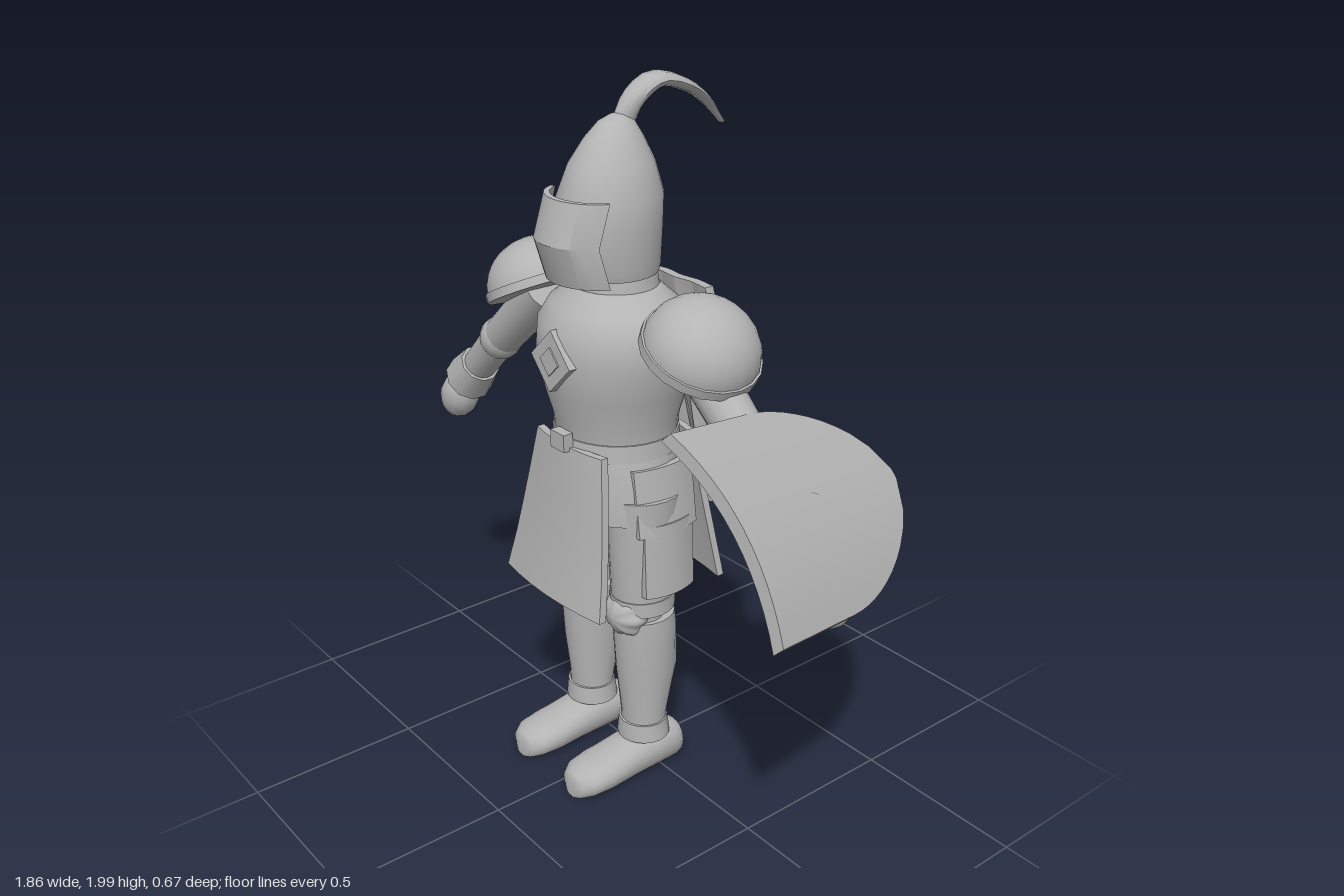
import * as THREE from 'three';
import { toCreasedNormals } from 'three/addons/utils/BufferGeometryUtils.js';

const steel = new THREE.MeshStandardMaterial({ color: 0xb4b4b4 });
steel.name = 'grey steel';
const V = (x, y, z) => new THREE.Vector3(x, y, z);
const lerp = THREE.MathUtils.lerp;

function add(parent, name, geometry, x = 0, y = 0, z = 0) {
  const mesh = new THREE.Mesh(geometry, steel);
  mesh.name = name;
  mesh.position.set(x, y, z);
  parent.add(mesh);
  return mesh;
}

// Skin a list of equal-length rings and cap both ends
function loft(rings, crease = 0.7) {
  const out = [];
  const tri = (...points) => points.forEach((p) => out.push(p.x, p.y, p.z));
  const m = rings[0].length;
  for (let j = 0; j < rings.length - 1; j++) {
    const a = rings[j], b = rings[j + 1];
    for (let i = 0; i < m; i++) {
      const k = (i + 1) % m;
      tri(a[i], b[i], b[k]);
      tri(a[i], b[k], a[k]);
    }
  }
  const lo = rings[0], hi = rings[rings.length - 1];
  for (let k = 0; k < m / 2 - 1; k++) {
    const n = m - 1 - k;
    tri(lo[k], lo[k + 1], lo[n - 1]);
    tri(lo[k], lo[n - 1], lo[n]);
    tri(hi[k], hi[n - 1], hi[k + 1]);
    tri(hi[k], hi[n], hi[n - 1]);
  }
  const g = new THREE.BufferGeometry();
  g.setAttribute('position', new THREE.Float32BufferAttribute(out, 3));
  return toCreasedNormals(g, crease);
}

const around = (n, fn) => Array.from({ length: n }, (_, i) => {
  const a = (i / n) * Math.PI * 2;
  return fn(Math.cos(a), Math.sin(a));
});

// Upright body from rows of [y, half width, half depth, centre z]
const column = (rows, sides = 24) => loft(rows.map(([y, rx, rz, cz = 0]) =>
  around(sides, (c, s) => V(c * rx, y, cz + s * rz))));

// Thick sheet: fn(u, v, inside) with u in -1..1 and v in 0..1
function sheet(nu, nv, fn, crease = 0.5) {
  const rings = [];
  for (let j = 0; j <= nv; j++) {
    const outer = [], inner = [];
    for (let i = 0; i <= nu; i++) {
      const u = -1 + (2 * i) / nu;
      outer.push(fn(u, j / nv, 0));
      inner.unshift(fn(u, j / nv, 1));
    }
    rings.push([...outer, ...inner]);
  }
  return loft(rings, crease);
}

// Tapered cylinder between two points
function limb(parent, name, a, b, ra, rb, sides = 16) {
  const d = b.clone().sub(a);
  const mesh = add(parent, name, new THREE.CylinderGeometry(rb, ra, d.length(), sides));
  mesh.position.copy(a).addScaledVector(d, 0.5);
  mesh.quaternion.setFromUnitVectors(V(0, 1, 0), d.normalize());
  return mesh;
}

function buildHead(body) {
  add(body, 'neck', column([[1.42, 0.125, 0.12, 0.03], [1.51, 0.11, 0.11, 0.03]]));
  add(body, 'helmet', column([
    [1.495, 0.122, 0.13, 0.045], [1.52, 0.127, 0.138, 0.047], [1.62, 0.13, 0.148, 0.05],
    [1.7, 0.129, 0.145, 0.045], [1.78, 0.102, 0.118, 0.04], [1.84, 0.07, 0.082, 0.033],
    [1.88, 0.043, 0.05, 0.025], [1.897, 0.018, 0.02, 0.02], [1.9, 0.003, 0.003, 0.02]]));
  // Visor: bent plate with a horizontal ridge
  add(body, 'visor', sheet(12, 2, (u, v, inside) => {
    const ridge = 1 - Math.abs(v - 0.5) * 2;
    const a = -u * 1.25, r = inside ? 0.118 : 0.132;
    return V(Math.sin(a) * r, lerp(1.49, 1.71, v),
      0.105 + ridge * 0.035 + Math.cos(a) * (inside ? 0.1 : 0.117));
  }));
  // Plume: flattened feather sweeping backwards
  const curve = new THREE.CatmullRomCurve3([V(0, 1.88, 0), V(0, 1.93, -0.03), V(0, 1.97, -0.1),
    V(0, 1.945, -0.2), V(0, 1.9, -0.27), V(0, 1.835, -0.33)]);
  const rings = [];
  for (let i = 0; i <= 14; i++) {
    const t = i / 14, p = curve.getPoint(t), d = curve.getTangent(t);
    const w = 0.022 + 0.025 * Math.sin(Math.PI * Math.min(1, t * 1.05)) - 0.008 * t;
    const h = lerp(0.033, 0.005, t);
    rings.push(around(12, (c, s) => V(c * w, p.y - d.z * s * h, p.z + d.y * s * h)));
  }
  add(body, 'plume', loft(rings));
}

function buildTorso(body) {
  add(body, 'breastplate', column([
    [1.04, 0.172, 0.165, 0.03], [1.1, 0.176, 0.172, 0.03], [1.18, 0.2, 0.195, 0.03],
    [1.28, 0.224, 0.21, 0.03], [1.36, 0.225, 0.2, 0.03], [1.41, 0.195, 0.168, 0.03],
    [1.45, 0.14, 0.125, 0.03], [1.46, 0.125, 0.115, 0.03]], 32));
  add(body, 'hips', column([[0.83, 0.205, 0.165, 0.04], [0.93, 0.2, 0.168, 0.037], [1.02, 0.178, 0.168, 0.03]], 32));
  add(body, 'belt', column([[1.01, 0.182, 0.175, 0.03], [1.06, 0.178, 0.171, 0.03]], 32));
  add(body, 'buckle', new THREE.BoxGeometry(0.06, 0.05, 0.03), 0, 1.055, 0.215);
  // Diamond ornament on the chest
  [[0.085, 0.03, 0.232], [0.04, 0.012, 0.245]].forEach(([r, depth, z]) => {
    const plate = add(body, 'chestDiamond', new THREE.BoxGeometry(r * Math.SQRT2, r * Math.SQRT2, depth), 0, 1.285, z);
    plate.rotation.set(-0.04, 0, Math.PI / 4);
  });
  // Hanging cloth panels, flared towards the hem
  add(body, 'frontTabard', sheet(6, 4, (u, v, inside) => V(-u * lerp(0.218, 0.145, v), lerp(0.6, 1.04, v),
    lerp(0.28, 0.212, v ** 0.8) - 0.02 * u * u - inside * 0.022)));
  add(body, 'backTabard', sheet(6, 4, (u, v, inside) => V(u * lerp(0.218, 0.145, v), lerp(0.6, 1.04, v),
    lerp(-0.205, -0.15, v) + 0.02 * u * u + inside * 0.022)));
  // Pleated cape
  add(body, 'cape', sheet(6, 6, (u, v, inside) => {
    const pleat = Math.round((u + 1) * 3) % 2;
    return V(u * lerp(0.345, 0.19, v), lerp(0.79, 1.46, v),
      lerp(-0.225, -0.145, v) - pleat * lerp(0.085, 0.008, v) + inside * 0.028);
  }, 0.2));
}

function buildArm(body, s) {
  const z = 0.03, arm = new THREE.Group();
  arm.name = s > 0 ? 'leftArm' : 'rightArm';
  body.add(arm);
  const shoulder = V(s * 0.31, 1.365, z), elbow = V(s * 0.56, 1.145, z), wrist = V(s * 0.725, 0.985, z);
  limb(arm, 'upperArm', shoulder, elbow, 0.068, 0.06);
  add(arm, 'elbow', new THREE.SphereGeometry(0.066, 16, 12)).position.copy(elbow);
  limb(arm, 'forearm', elbow, wrist, 0.057, 0.05);
  limb(arm, 'gauntletCuff', V(s * 0.685, 1.025, z), V(s * 0.755, 0.955, z), 0.062, 0.077, 10);
  limb(arm, 'wrist', wrist, V(s * 0.8, 0.9, z), 0.035, 0.035, 12);
  const hand = add(arm, 'hand', new THREE.SphereGeometry(1, 14, 10), s * 0.815, 0.882, z);
  hand.scale.set(0.066, 0.084, 0.06);
  hand.rotation.z = s * 0.5;

  // Domed shoulder guard with a rim
  const guard = new THREE.Group();
  guard.name = 'shoulderGuard';
  guard.position.set(s * 0.345, 1.365, z);
  guard.rotation.z = -s * 0.47;
  arm.add(guard);
  add(guard, 'dome', new THREE.SphereGeometry(0.155, 20, 10, 0, Math.PI * 2, 0, Math.PI / 2)).scale.y = 0.9;
  add(guard, 'rim', new THREE.CylinderGeometry(0.16, 0.16, 0.026, 20));
}

function buildLeg(body, s) {
  const leg = new THREE.Group();
  leg.name = s > 0 ? 'leftLeg' : 'rightLeg';
  leg.position.x = s * 0.125;
  body.add(leg);
  add(leg, 'thigh', column([[0.545, 0.085, 0.09, 0.038], [0.6, 0.086, 0.092, 0.038], [0.9, 0.098, 0.11, 0.035]], 20));
  add(leg, 'thighCuff', column([[0.545, 0.089, 0.095, 0.038], [0.59, 0.089, 0.095, 0.038]], 20));
  add(leg, 'kneeJoint', column([[0.5, 0.068, 0.065, 0.045], [0.56, 0.068, 0.065, 0.045]], 16));
  add(leg, 'shin', column([
    [0.14, 0.066, 0.062, 0.035], [0.2, 0.068, 0.068, 0.03], [0.34, 0.079, 0.094, 0.022],
    [0.48, 0.085, 0.094, 0.03], [0.52, 0.083, 0.092, 0.033]], 20));
  add(leg, 'ankleCuff', column([[0.115, 0.078, 0.076, 0.032], [0.17, 0.072, 0.07, 0.034]], 20));

  // Scalloped knee guard
  const knee = new THREE.SphereGeometry(1, 48, 12).rotateX(Math.PI / 2);
  const p = knee.attributes.position;
  for (let i = 0; i < p.count; i++) {
    const k = 1 + 0.06 * Math.cos(8 * Math.atan2(p.getY(i), p.getX(i)));
    p.setXYZ(i, p.getX(i) * k * 0.07, p.getY(i) * k * 0.064, p.getZ(i) * 0.055);
  }
  knee.computeVertexNormals();
  add(leg, 'kneeGuard', knee, 0, 0.535, 0.095);

  // Boot: rows of [z, half width, height], flat underneath
  const boot = [[-0.09, 0.03, 0.08], [-0.08, 0.052, 0.105], [-0.05, 0.066, 0.12], [0.02, 0.07, 0.125],
    [0.1, 0.072, 0.115], [0.2, 0.077, 0.095], [0.26, 0.07, 0.085], [0.29, 0.048, 0.072], [0.3, 0.025, 0.058]];
  add(leg, 'boot', loft(boot.map(([z, w, h]) => around(20, (c, n) =>
    V(w * Math.sign(c) * Math.abs(c) ** 0.8, Math.max(0, h / 2 - (n * h) / 2 * (n > 0 ? 1.15 : 1)), z)))));

  // Overlapping hip plates on the outer side
  [[0.8, 0.99, 0.088, 0.06, 0.1], [0.615, 0.83, 0.098, 0.088, 0.085]].forEach(([y0, y1, xLow, xHigh, half]) => {
    add(leg, 'hipPlate', sheet(6, 1, (u, v, inside) => V(
      s * (lerp(xLow, xHigh, v) + 0.012 - 0.02 * u * u - inside * 0.02),
      lerp(y0, y1, v), 0.01 + s * u * half), 0.5));
  });
}

// Curved shield carried flat along the left arm, its point to the rear
function buildShield(group) {
  const normal = V(0.69, 0.72, -0.2).normalize();
  add(group, 'shield', sheet(12, 20, (u, v, inside) => {
    const q = Math.max(0, (v - 0.45) / 0.55);
    const w = u * Math.max(0.05, (1 - q * q) ** 0.62);
    return V(0.775 - 0.195 * w, 1.16 + 0.19 * w, 0.32)
      .addScaledVector(V(-0.135, -0.11, -0.65), v)
      .addScaledVector(normal, -0.06 * w * w - inside * 0.035);
  }, 0.6));
  limb(group, 'shieldGrip', V(0.61, 1.05, 0.03), V(0.71, 1.1, 0.03), 0.03, 0.03, 10);
}

export function createModel() {
  const model = new THREE.Group();
  model.name = 'armouredFigure';
  const body = new THREE.Group();
  body.name = 'body';
  body.position.x = -0.05;
  model.add(body);
  buildHead(body);
  buildTorso(body);
  for (const s of [-1, 1]) {
    buildArm(body, s);
    buildLeg(body, s);
  }
  buildShield(model);
  return model;
}
